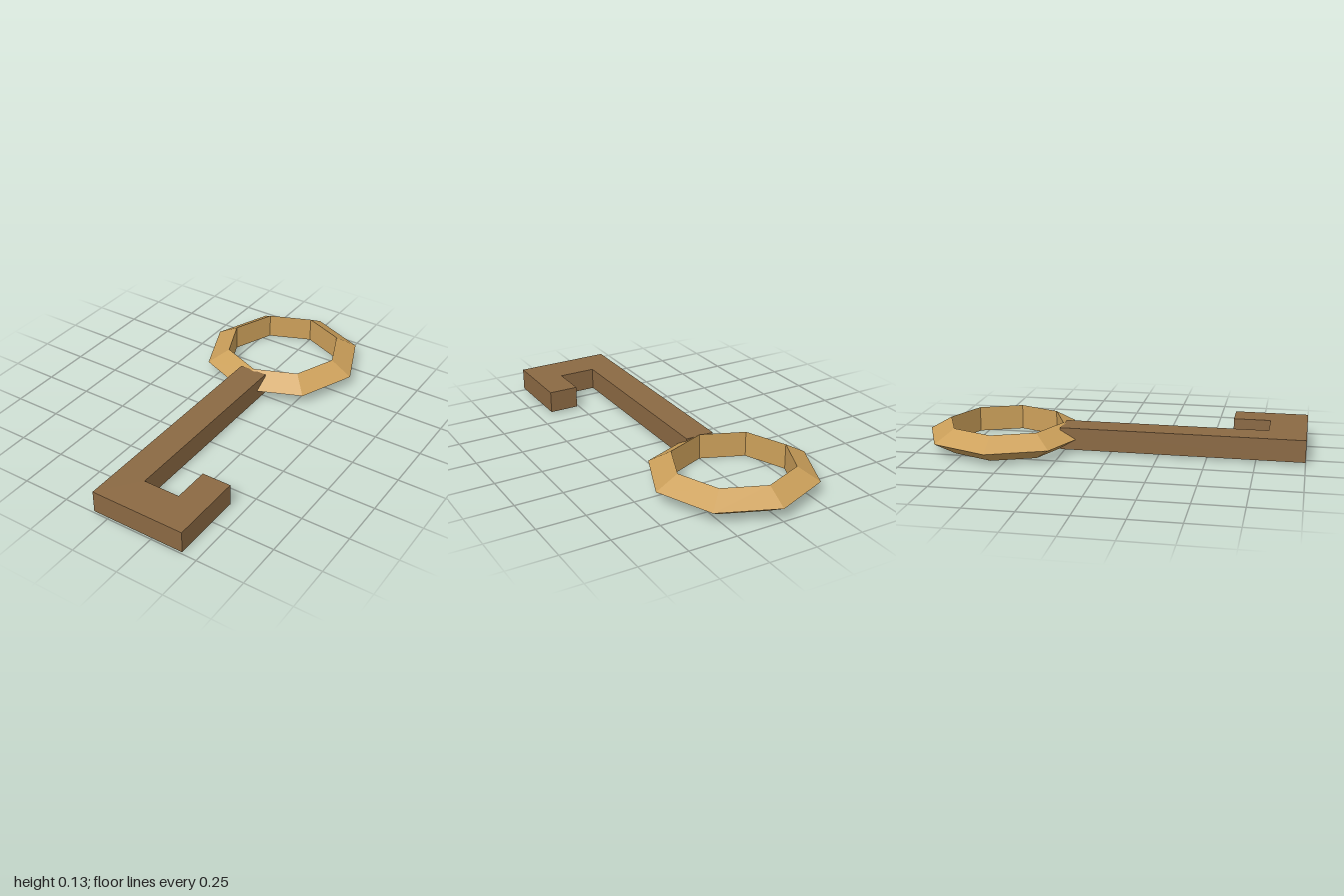
import * as THREE from 'three';

export function createModel() {
  const group = new THREE.Group();
  const brass = new THREE.MeshStandardMaterial({ color: 0xcca05a, flatShading: true });
  brass.name = 'brass';
  const bronze = new THREE.MeshStandardMaterial({ color: 0x8b6943, flatShading: true });
  bronze.name = 'bronze';

  // Eight-sided ring handle with a triangular section, lying flat
  const ring = new THREE.Mesh(new THREE.TorusGeometry(0.3475, 0.0775, 3, 8).rotateX(Math.PI / 2), brass);
  ring.name = 'ringHandle';
  ring.position.set(0, 0.067, -0.575);
  group.add(ring);

  // Shaft with hooked bit, outlined as [x, z] and extruded upwards
  const outline = [
    [-0.078, 1], [0.425, 1], [0.425, 0.61], [0.27, 0.61],
    [0.27, 0.805], [0.075, 0.805], [0.075, -0.265], [-0.078, -0.265],
  ];
  const shape = new THREE.Shape(outline.map(([x, z]) => new THREE.Vector2(x, -z)));
  const shaftGeometry = new THREE.ExtrudeGeometry(shape, { depth: 0.116, bevelEnabled: false });
  shaftGeometry.rotateX(-Math.PI / 2);
  const shaft = new THREE.Mesh(shaftGeometry, bronze);
  shaft.name = 'shaftAndBit';
  shaft.position.y = 0.011;
  group.add(shaft);

  return group;
}
